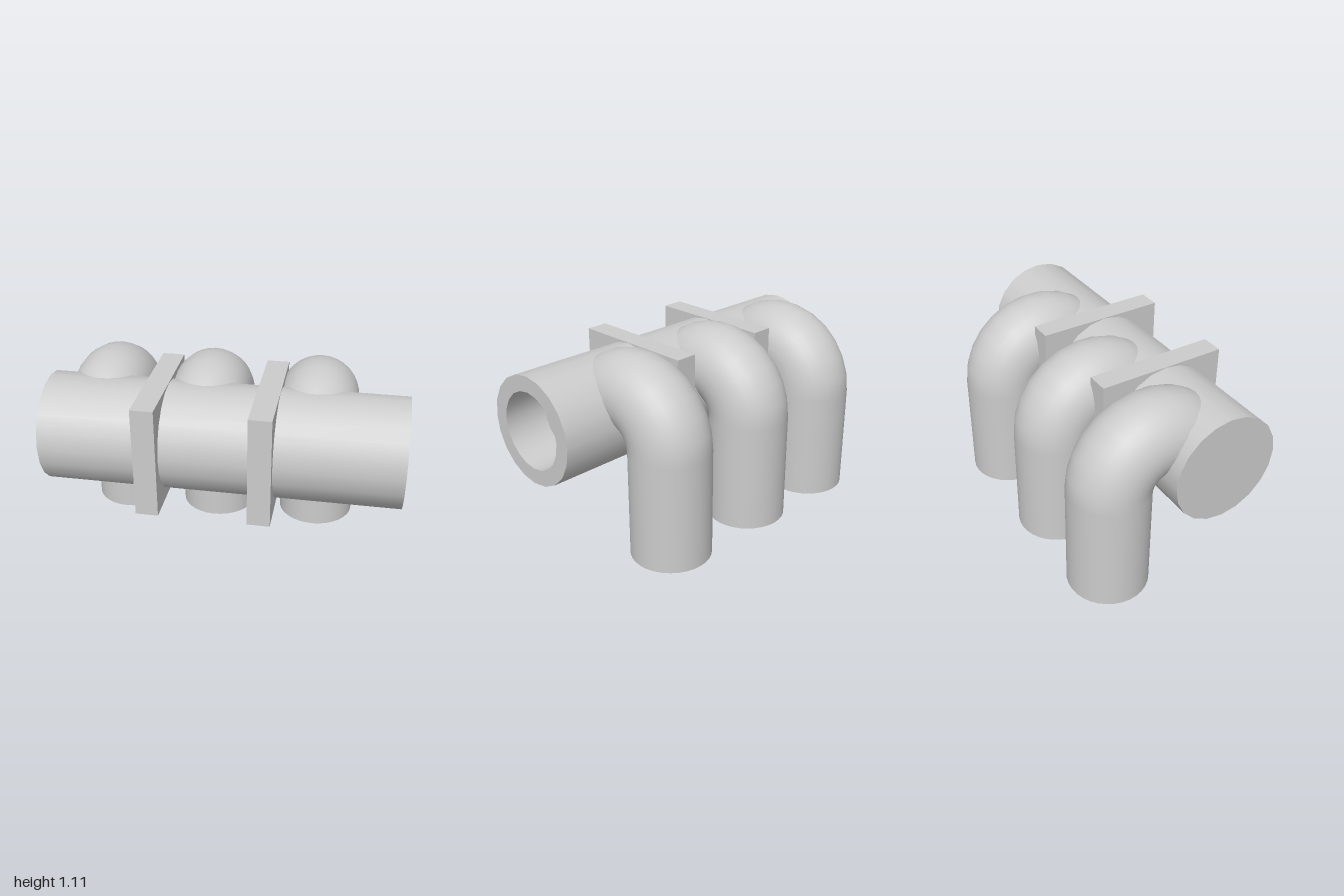
import * as THREE from 'three';
import { toCreasedNormals } from 'three/addons/utils/BufferGeometryUtils.js';

export function createModel() {
  const model = new THREE.Group();
  model.name = 'pipeManifold';
  const material = new THREE.MeshStandardMaterial({ color: 0xcccccc });

  const add = (parent, name, geometry, x, y, z) => {
    const mesh = new THREE.Mesh(geometry, material);
    mesh.name = name;
    mesh.position.set(x, y, z);
    parent.add(mesh);
    return mesh;
  };

  // Main pipe: closed at -x, with a blind bore at +x
  const profile = [[0, -1], [0.31, -1], [0.31, 1], [0.22, 1], [0.22, 0.75], [0, 0.75]]
    .map(([r, h]) => new THREE.Vector2(r, h));
  const pipe = toCreasedNormals(new THREE.LatheGeometry(profile, 20), 0.6);
  pipe.rotateZ(-Math.PI / 2);
  add(model, 'mainPipe', pipe, 0, 0.73, 0.2);

  // Square flange plates around the main pipe
  for (const x of [-0.382, 0.24]) {
    add(model, 'flangePlate', new THREE.BoxGeometry(0.127, 0.643, 0.75), x, 0.7215, 0.18);
  }

  // Branch pipes: an upright leg and a half-turn bend ending inside the main pipe
  const radius = 0.228, bendRadius = 0.262, legHeight = 0.625, bendZ = -0.06;
  const leg = new THREE.CylinderGeometry(radius, radius, legHeight, 32);
  const bend = new THREE.TorusGeometry(bendRadius, radius, 32, 13, Math.PI);
  bend.rotateY(Math.PI / 2);
  for (const x of [-0.707, -0.134, 0.491]) {
    const branch = new THREE.Group();
    branch.name = 'branchPipe';
    branch.position.x = x;
    add(branch, 'branchLeg', leg, 0, legHeight / 2, bendZ - bendRadius);
    add(branch, 'branchBend', bend, 0, legHeight, bendZ);
    model.add(branch);
  }

  return model;
}
